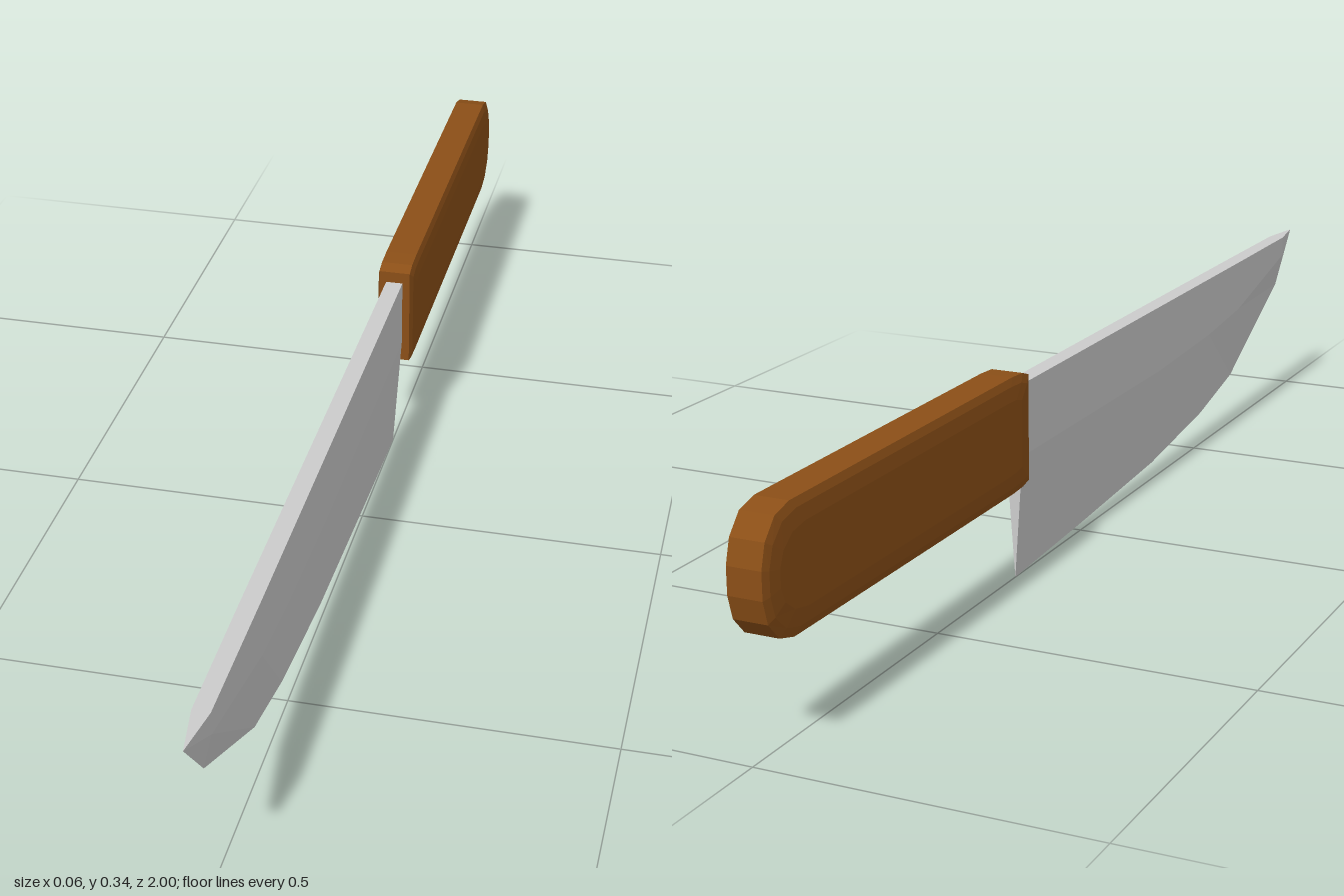
import * as THREE from 'three';

// Skin between matching rings of [x, y, z] points, counter-clockwise along the path, with capped ends
function loft(rings) {
  const n = rings[0].length, last = (rings.length - 1) * n, index = [];
  for (let r = 0; r < rings.length - 1; r++) {
    for (let i = 0; i < n; i++) {
      const a = r * n + i, b = r * n + (i + 1) % n;
      index.push(a, b, b + n, a, b + n, a + n);
    }
  }
  for (let i = 1; i < n - 1; i++) index.push(0, i + 1, i, last, last + i, last + i + 1);
  const geometry = new THREE.BufferGeometry();
  geometry.setAttribute('position', new THREE.Float32BufferAttribute(rings.flat(2), 3));
  geometry.setIndex(index);
  geometry.computeVertexNormals();
  return geometry;
}

function part(name, geometry, color) {
  const mesh = new THREE.Mesh(geometry, new THREE.MeshStandardMaterial({ color, flatShading: true }));
  mesh.name = name;
  return mesh;
}

export function createModel() {
  const group = new THREE.Group();
  group.name = 'kitchenKnife';

  // Blade: flat spine, near-parallel flanks, then a taper to the cutting edge
  const spine = 0.315;
  const stations = [ // z, edge height, shoulder height, half thickness
    [-0.243, 0, 0.2, 0.014], [0, 0.012, 0.2, 0.014], [0.3, 0.03, 0.2, 0.014],
    [0.53, 0.06, 0.21, 0.014], [0.68, 0.095, 0.225, 0.014],
    [0.92, 0.22, 0.28, 0.013], [1, spine, spine, 0],
  ];
  const blade = loft(stations.map(([z, edge, mid, w]) => [
    [-w, spine, z], [-w, mid, z], [0, edge, z], [w, mid, z], [w, spine, z],
  ]));
  group.add(part('blade', blade, 0xcccccc));

  // Handle: rounded outline, slightly domed on both sides
  const outline = [ // z, y
    [-0.93, 0.342], [-0.3, 0.342], [-0.265, 0.34], [-0.245, 0.333],
    [-0.245, 0.165], [-0.265, 0.16], [-0.3, 0.158], [-0.93, 0.158],
    [-0.965, 0.168], [-0.99, 0.195], [-1, 0.23], [-1, 0.27], [-0.99, 0.305], [-0.965, 0.333],
  ];
  const cz = -0.6225, cy = 0.25, halfZ = 0.3775, halfY = 0.092;
  const layers = [[0.026, 0], [0.03, 0.012], [0.032, 0.034]]; // half width, inset
  const sides = [
    ...layers.slice().reverse().map(([x, inset]) => [-x, inset]),
    ...layers,
  ];
  const handle = loft(sides.map(([x, inset]) => outline.map(([z, y]) => [
    x,
    cy + (y - cy) * (1 - inset / halfY),
    cz + (z - cz) * (1 - inset / halfZ),
  ])));
  group.add(part('handle', handle, 0x8b4f17));

  return group;
}
